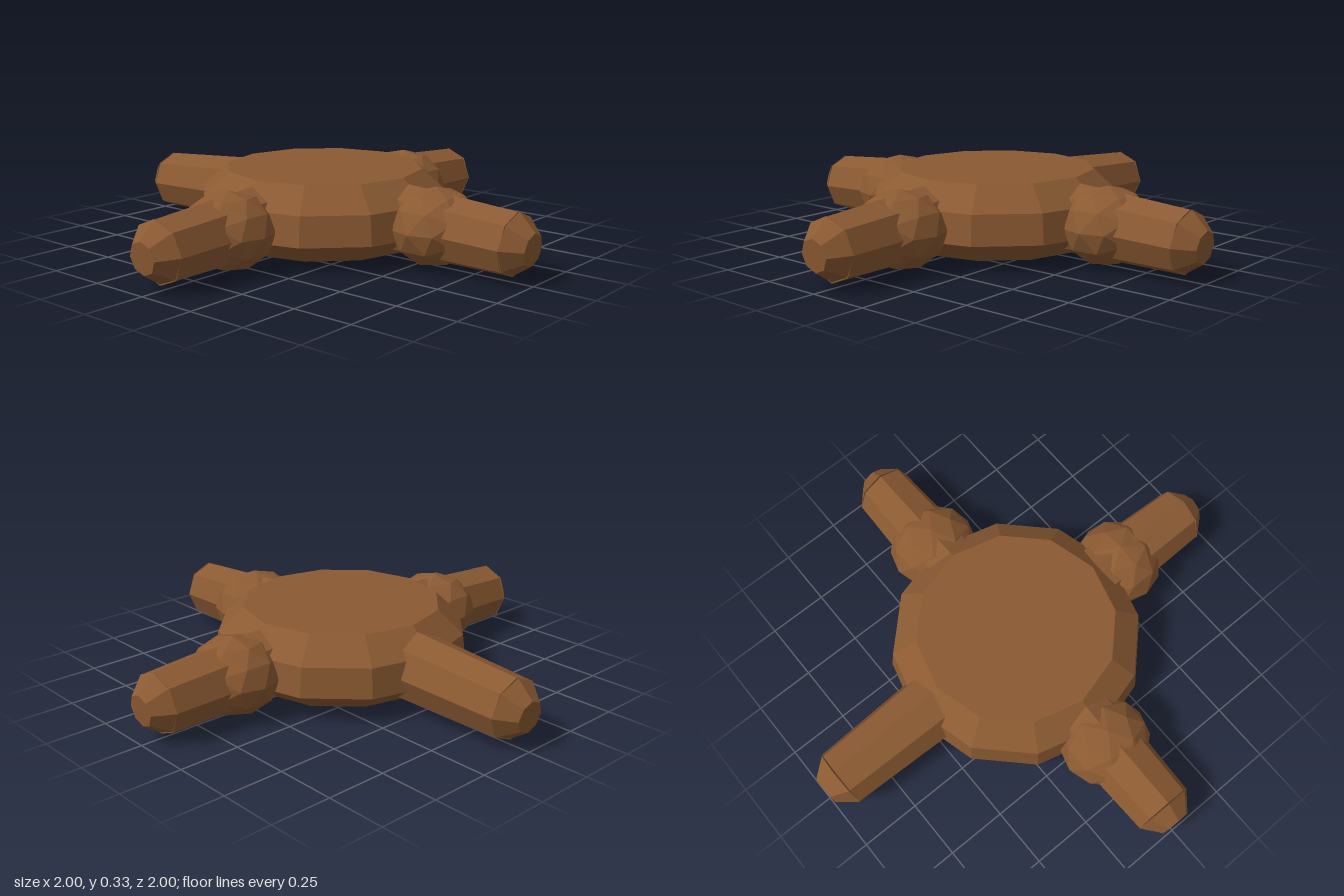
import * as THREE from 'three';

const brown = new THREE.MeshStandardMaterial({ color: 0x8b5a32, flatShading: true });
brown.name = 'brown';

function add(parent, name, geometry) {
  const mesh = new THREE.Mesh(geometry, brown);
  mesh.name = name;
  parent.add(mesh);
  return mesh;
}

// Tapered eight-sided segment pointing along +z, starting at its own origin
function segment(innerRadius, outerRadius, length) {
  return new THREE.CylinderGeometry(outerRadius, innerRadius, length, 8)
    .translate(0, length / 2, 0)
    .rotateX(Math.PI / 2);
}

// One arm reaching out along +z
function createArm(name, hasKnuckle) {
  const arm = new THREE.Group();
  arm.name = name;

  // Main limb slopes down slightly so its underside stays level
  const limb = add(arm, 'limb', segment(0.15, 0.125, 0.68));
  limb.position.set(0, 0.17, 0.24);
  limb.rotation.x = 0.037;

  // Blunt tip, tilted a little further than the limb
  const tip = add(arm, 'tip', segment(0.127, 0.065, 0.0755));
  tip.position.set(0, 0.145, 0.918);
  tip.rotation.x = 0.1;

  if (hasKnuckle) {
    const knuckle = add(arm, 'knuckle', new THREE.IcosahedronGeometry(1, 1));
    knuckle.scale.set(0.19, 0.157, 0.18);
    knuckle.position.set(0, 0.157, 0.565);
  }
  return arm;
}

export function createModel() {
  const model = new THREE.Group();
  model.name = 'fourArmedDisc';

  // Faceted twelve-sided body
  const profile = [[0, 0.025], [0.41, 0.025], [0.53, 0.11], [0.515, 0.23], [0.41, 0.327], [0, 0.327]]
    .map(([r, y]) => new THREE.Vector2(r, y));
  add(model, 'body', new THREE.LatheGeometry(profile, 12));

  // Four arms; only the back one has no knuckle
  ['frontArm', 'leftArm', 'backArm', 'rightArm'].forEach((name, i) => {
    const arm = createArm(name, name !== 'backArm');
    arm.rotation.y = (i * Math.PI) / 2;
    model.add(arm);
  });

  return model;
}
